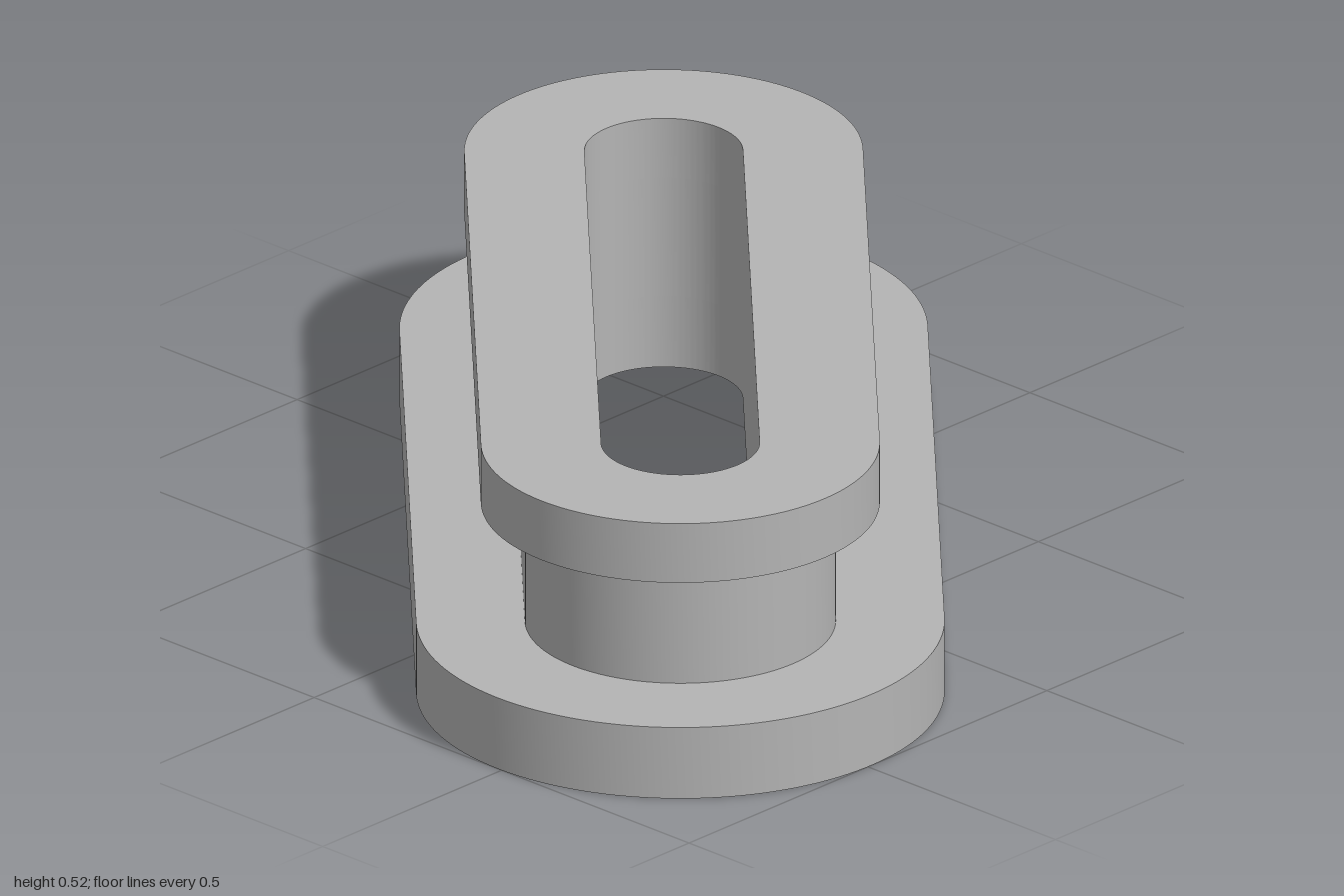
import * as THREE from 'three';
import { toCreasedNormals } from 'three/addons/utils/BufferGeometryUtils.js';

const HALF = 0.49 * Math.SQRT2; // centre to the middle of each rounded end
const HOLE = 0.153;

// Stadium outline: two half circles joined by straight sides
function stadium(path, r) {
  path.moveTo(-HALF, -r);
  path.lineTo(HALF, -r);
  path.absarc(HALF, 0, r, -Math.PI / 2, Math.PI / 2, false);
  path.lineTo(-HALF, r);
  path.absarc(-HALF, 0, r, Math.PI / 2, Math.PI * 1.5, false);
  return path;
}

// Slotted ring between two heights, turned onto the diagonal
function ring(name, r, y0, y1, material) {
  const shape = stadium(new THREE.Shape(), r);
  shape.holes.push(stadium(new THREE.Path(), HOLE));
  const extruded = new THREE.ExtrudeGeometry(shape, {
    depth: y1 - y0, bevelEnabled: false, curveSegments: 40,
  });
  extruded.rotateX(-Math.PI / 2).rotateY(-Math.PI / 4).translate(0, y0, 0);
  const mesh = new THREE.Mesh(toCreasedNormals(extruded, Math.PI / 6), material);
  mesh.name = name;
  return mesh;
}

export function createModel() {
  const grey = new THREE.MeshStandardMaterial({ color: 0xb4b4b4 });
  grey.name = 'grey';

  const model = new THREE.Group();
  model.name = 'slottedGrommet';
  model.add(
    ring('baseFlange', 0.51, 0, 0.15, grey),
    ring('neck', 0.3, 0.15, 0.4, grey),
    ring('topFlange', 0.385, 0.4, 0.525, grey),
  );
  return model;
}
